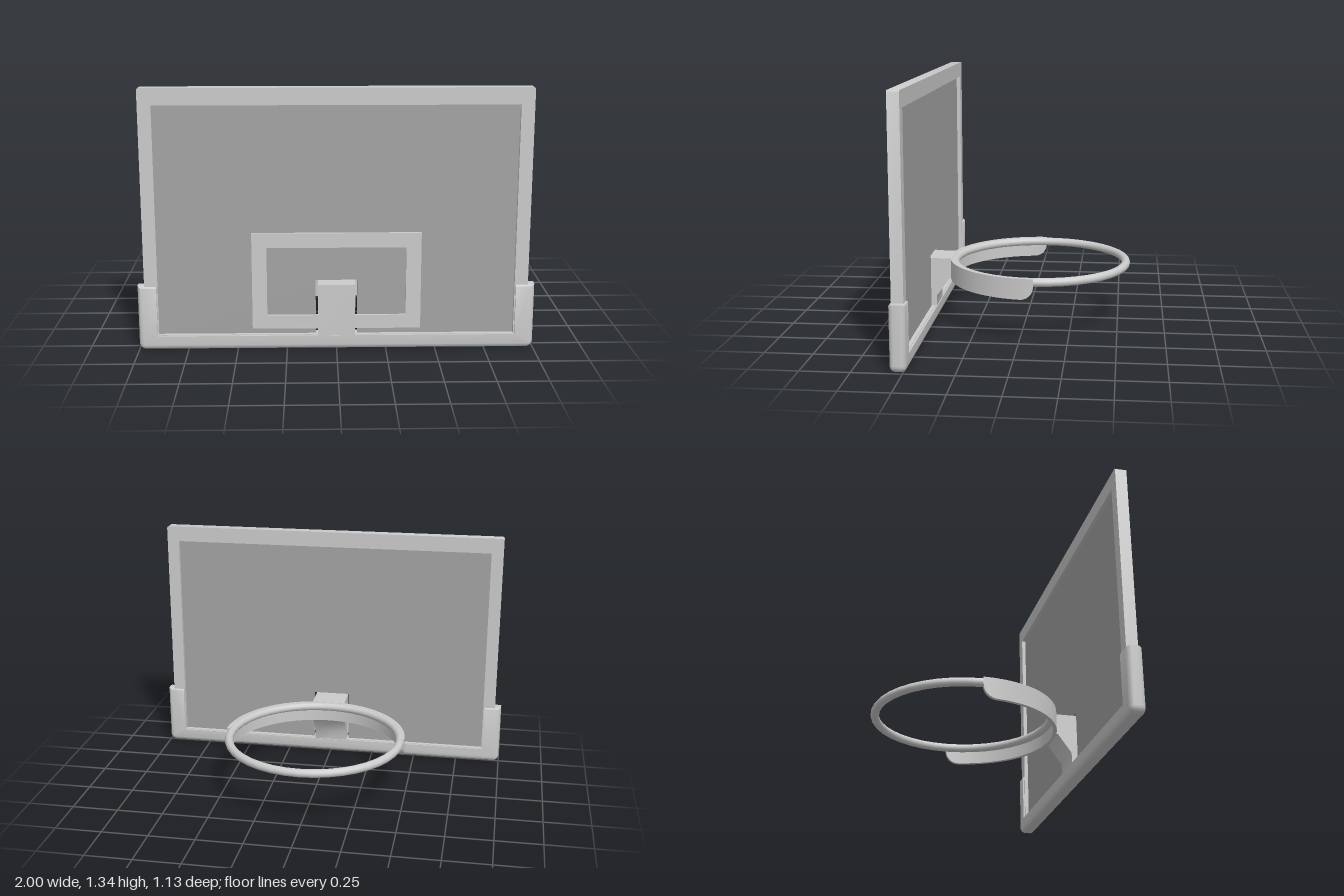
import * as THREE from 'three';
import { toCreasedNormals } from 'three/addons/utils/BufferGeometryUtils.js';

const grey = new THREE.MeshStandardMaterial({ color: 0xcccccc });
const darkGrey = new THREE.MeshStandardMaterial({ color: 0xa4a4a4 });

// Closed outline through corner points
const outline = (points, Type = THREE.Shape) =>
  new Type().setFromPoints(points.map(([x, y]) => new THREE.Vector2(x, y)));

const rect = (x0, x1, y0, y1, Type) => outline([[x0, y0], [x1, y0], [x1, y1], [x0, y1]], Type);

// Extrusion between z0 and z1; the bevel grows the outline by its own size
function slab(shape, z0, z1, bevel = 0) {
  const g = new THREE.ExtrudeGeometry(shape, {
    depth: z1 - z0 - 2 * bevel, curveSegments: 5, bevelEnabled: bevel > 0,
    bevelThickness: bevel, bevelSize: bevel, bevelSegments: 5,
  });
  g.translate(0, 0, z0 + bevel);
  return toCreasedNormals(g, 0.6);
}

// U-shaped padding: round outside, square inner edges, tighter rounding on the arm tops
function paddingGeometry() {
  const r = 0.01;
  const u = new THREE.Shape();
  u.absarc(-0.975 + r, 0.025 + r, r, Math.PI, Math.PI * 1.5);
  u.absarc(0.975 - r, 0.025 + r, r, -Math.PI / 2, 0);
  u.lineTo(0.975, 0.31).lineTo(0.93, 0.31).lineTo(0.93, 0.046);
  u.lineTo(-0.93, 0.046).lineTo(-0.93, 0.31).lineTo(-0.975, 0.31);
  const g = slab(u, 0.485, 0.565, 0.025);
  const p = g.attributes.position;
  for (let i = 0; i < p.count; i++) {
    const x = p.getX(i), y = p.getY(i);
    if (y > 0.04 && Math.abs(x) < 0.95) {
      p.setX(i, Math.sign(x) * 0.904);
      if (y < 0.2) p.setY(i, 0.073);
    }
    if (y > 0.2) p.setY(i, 0.335 - (0.335 - y) * 0.4);
  }
  return toCreasedNormals(g, 0.6);
}

// Half-circle strip along the rim, its lower corners rounded off
function bandGeometry(rIn, rOut, top, bottom, corner) {
  const angles = [];
  const cornerAngle = corner / rOut;
  for (let i = 0; i < 8; i++) angles.push(cornerAngle * (1 - Math.cos((i / 8) * Math.PI / 2)));
  for (let i = 0; i <= 32; i++) angles.push(cornerAngle + (Math.PI - 2 * cornerAngle) * i / 32);
  for (let i = 7; i >= 0; i--) angles.push(Math.PI - angles[i]);

  const pos = [], idx = [];
  for (const a of angles) {
    const d = Math.min(1, Math.min(a, Math.PI - a) / cornerAngle);
    const low = bottom + corner * (1 - Math.sqrt(Math.max(0, 1 - (1 - d) ** 2)));
    for (const [r, y] of [[rIn, low], [rOut, low], [rOut, top], [rIn, top]]) {
      pos.push(r * Math.cos(a), y, r * Math.sin(a));
    }
  }
  const n = angles.length;
  for (let i = 0; i < n - 1; i++) {
    for (let k = 0; k < 4; k++) {
      const a = i * 4 + k, b = i * 4 + (k + 1) % 4;
      idx.push(a, b, a + 4, b, b + 4, a + 4);
    }
  }
  const e = (n - 1) * 4;
  idx.push(0, 2, 1, 0, 3, 2, e, e + 1, e + 2, e, e + 2, e + 3);
  const g = new THREE.BufferGeometry();
  g.setAttribute('position', new THREE.Float32BufferAttribute(pos, 3));
  g.setIndex(idx);
  return toCreasedNormals(g, 0.6);
}

export function createModel() {
  const model = new THREE.Group();
  model.name = 'basketballHoop';
  const add = (name, geometry, material = grey) => {
    const mesh = new THREE.Mesh(geometry, material);
    mesh.name = name;
    model.add(mesh);
    return mesh;
  };

  // Frame around the board, its upper corners slightly rounded
  const frame = new THREE.Shape();
  frame.absarc(0.953, 1.323, 0.012, 0, Math.PI / 2);
  frame.absarc(-0.953, 1.323, 0.012, Math.PI / 2, Math.PI);
  frame.lineTo(-0.965, 0.03).lineTo(0.965, 0.03);
  frame.holes.push(rect(-0.898, 0.898, 0.076, 1.25, THREE.Path));
  add('boardFrame', slab(frame, 0.495, 0.555));

  // Thin pane with a slot for the bracket
  const pane = outline([[-0.91, 0.06], [-0.105, 0.06], [-0.105, 0.358], [0.105, 0.358],
    [0.105, 0.06], [0.91, 0.06], [0.91, 1.26], [-0.91, 1.26]]);
  add('boardPane', slab(pane, 0.516, 0.534), darkGrey);

  // Raised target rectangle on the front of the pane
  const target = rect(-0.425, 0.425, 0.105, 0.605);
  target.holes.push(rect(-0.35, 0.35, 0.175, 0.53, THREE.Path));
  add('targetRectangle', slab(target, 0.53, 0.548));

  // Padding along the bottom edge and up both lower corners
  add('bottomPadding', paddingGeometry());

  // Bracket: side profile (-z, y) extruded across the width
  const profile = outline([[-0.564, 0.03], [-0.564, 0.341], [-0.402, 0.341],
    [-0.402, 0.23], [-0.415, 0.23], [-0.487, 0.13], [-0.49, 0.03]]);
  const bracket = slab(profile, -0.094, 0.094);
  bracket.rotateY(Math.PI / 2);
  add('rimBracket', bracket);

  // Rim and the support band around its half nearest the board
  const rimZ = -0.075;
  const rim = new THREE.TorusGeometry(0.4675, 0.0225, 14, 40);
  rim.rotateX(Math.PI / 2);
  add('rim', rim).position.set(0, 0.318, rimZ);
  add('rimBand', bandGeometry(0.472, 0.492, 0.34, 0.23, 0.07)).position.z = rimZ;

  return model;
}
